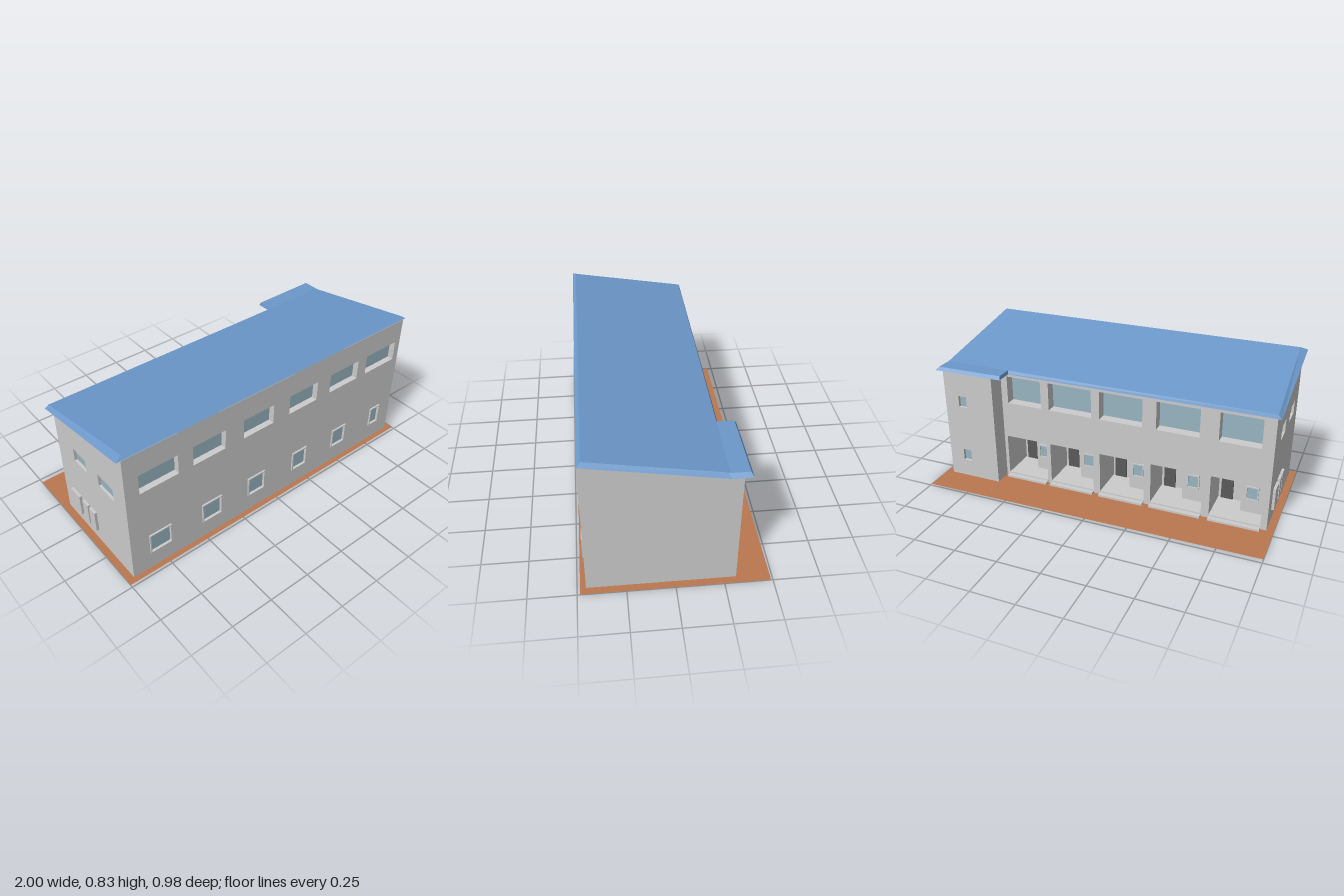
import * as THREE from 'three';

const material = (color) => new THREE.MeshStandardMaterial({ color, flatShading: true, side: THREE.DoubleSide });

export function createModel() {
  const model = new THREE.Group();
  const grey = material(0xcccccc);
  const glass = material(0x98b5c1);
  const blue = material(0x6c98ca);
  const earth = material(0xbb7850);
  const dark = material(0x5a5a5a);

  const add = (name, geometry, mat = grey) => {
    const mesh = new THREE.Mesh(geometry, mat);
    mesh.name = name;
    model.add(mesh);
    return mesh;
  };
  // Box given by its limits on each axis
  const box = (name, x0, x1, y0, y1, z0, z1, mat = grey) =>
    add(name, new THREE.BoxGeometry(x1 - x0, y1 - y0, z1 - z0), mat)
      .position.set((x0 + x1) / 2, (y0 + y1) / 2, (z0 + z1) / 2);
  const rect = (x0, x1, y0, y1) => [[x0, y0], [x1, y0], [x1, y1], [x0, y1]];
  const points = (list) => list.map(([x, y]) => new THREE.Vector2(x, y));
  // Wall panel from an outline with rectangular openings
  const panel = (outline, openings, depth) => {
    const shape = new THREE.Shape(points(outline));
    for (const o of openings) shape.holes.push(new THREE.Path(points(rect(...o).reverse())));
    return new THREE.ExtrudeGeometry(shape, { depth, bevelEnabled: false });
  };
  // Solid between two four-cornered loops, bottom and top
  const slab = (name, bottom, top, mat) => {
    const geometry = new THREE.BufferGeometry();
    geometry.setAttribute('position', new THREE.Float32BufferAttribute([...bottom, ...top].flat(), 3));
    const index = [0, 2, 1, 0, 3, 2, 4, 5, 6, 4, 6, 7];
    for (let i = 0; i < 4; i++) {
      const j = (i + 1) % 4;
      index.push(i, j, j + 4, i, j + 4, i + 4);
    }
    geometry.setIndex(index);
    const flat = geometry.toNonIndexed();
    flat.computeVertexNormals();
    add(name, flat, mat);
  };

  // Ground sheet and building floor
  const ground = new THREE.Shape(points([[-1, -0.485], [1, -0.485], [1, 0.49], [-1, 0.47]]));
  const groundMesh = add('ground', new THREE.ShapeGeometry(ground), earth);
  groundMesh.rotation.x = -Math.PI / 2;
  groundMesh.position.y = 0.002;
  box('floor', -0.95, 0.95, 0, 0.006, -0.2, 0.44);
  box('towerFloor', 0.65, 0.95, 0, 0.006, -0.305, -0.2);

  // Front wall: wide recessed windows above, framed windows below
  const frontUpper = [[-0.88, -0.65], [-0.56, -0.355], [-0.235, -0.03], [0.085, 0.29], [0.39, 0.61], [0.68, 0.92]]
    .map(([a, b]) => [a, b, 0.555, 0.675]);
  const frontLower = [[-0.85, -0.715], [-0.515, -0.385], [-0.2, -0.08], [0.13, 0.24], [0.45, 0.56], [0.78, 0.86]]
    .map(([a, b]) => [a, b, 0.115, 0.243]);
  add('frontWall', panel(rect(-0.96, 0.96, 0, 0.814), [...frontUpper, ...frontLower], 0.04)).position.z = 0.415;
  for (const [a, b, c, d] of frontUpper) box('frontUpperGlass', a, b, c, d, 0.41, 0.42, glass);
  for (const [a, b, c, d] of frontLower) {
    const t = 0.007;
    add('frontWindowFrame', panel(rect(a, b, c, d), [[a + t, b - t, c + t, d - t]], 0.03)).position.z = 0.435;
    box('frontLowerGlass', a, b, c, d, 0.44, 0.45, glass);
  }

  // End walls, drawn with -z across and turned to face sideways
  const endWall = (name, outline, openings, x) => {
    const mesh = add(name, panel(outline, openings, 0.03));
    mesh.rotation.y = Math.PI / 2;
    mesh.position.x = x;
  };
  const sideWindows = [[-0.08, 0.04, 0.465, 0.545], [-0.34, -0.2, 0.465, 0.545]];
  endWall('leftwardEndWall', [[-0.415, 0], [0.25, 0], [0.315, 0], [0.315, 0.692], [0.25, 0.692], [-0.415, 0.81]], [], 0.93);
  endWall('rightwardEndWall', [[-0.415, 0], [0.21, 0], [0.21, 0.699], [-0.415, 0.81]], sideWindows, -0.96);
  for (const [a, b, c, d] of sideWindows) box('sideGlass', -0.945, -0.935, c, d, -b, -a, glass);

  // Service cabinets on the end wall
  for (const [a, b] of [[-0.12, -0.03], [0.0, 0.055], [0.07, 0.125]]) {
    box('wallCabinet', -0.975, -0.955, 0.08, 0.21, a, b);
  }

  // Back wall with deep upper windows and patio openings
  const bays = [[0.36, 0.62], [0.06, 0.335], [-0.25, 0.02], [-0.59, -0.29], [-0.925, -0.635]];
  const backUpper = [[0.385, 0.6], [0.07, 0.335], [-0.235, 0.02], [-0.56, -0.315], [-0.893, -0.665]]
    .map(([a, b]) => [a, b, 0.487, 0.655]);
  const patios = bays.map(([a, b]) => [a, b, 0.02, 0.268]);
  add('backWall', panel(rect(-0.93, 0.65, 0, 0.699), [...backUpper, ...patios], 0.07)).position.z = -0.21;
  for (const [a, b, c, d] of backUpper) box('backUpperGlass', a, b, c, d, -0.15, -0.14, glass);

  // Patios: floor, step, door, and a projecting room with a small window
  box('patioCeiling', -0.93, 0.64, 0.268, 0.28, -0.14, 0.01);
  box('patioInnerWall', -0.93, 0.64, 0, 0.268, 0, 0.01);
  for (const [a, b] of bays) {
    const w = b - a, edge = a + 0.48 * w;
    box('patioFloor', a, b, 0.006, 0.021, -0.209, 0);
    box('patioStep', a, b, 0, 0.014, -0.24, -0.2);
    box('patioRoom', a, edge, 0.02, 0.268, -0.1, 0);
    const wx = a + 0.27 * w;
    const f = [wx - 0.036, wx + 0.036, 0.105, 0.19];
    add('patioWindowFrame', panel(rect(...f), [[f[0] + 0.007, f[1] - 0.007, f[2] + 0.007, f[3] - 0.007]], 0.012)).position.z = -0.11;
    box('patioGlass', ...f, -0.103, -0.095, glass);
    box('patioDoor', b - 0.085, b - 0.015, 0.02, 0.215, -0.006, 0.001, dark);
  }
  const edges = [0.645, ...bays.flatMap(([a, b]) => [b, a]), -0.93];
  for (let i = 0; i < edges.length; i += 2) {
    box('patioDivider', edges[i + 1], edges[i], 0, 0.268, -0.145, 0);
  }

  // Stair tower at the back corner
  const towerWindows = [[0.818, 0.87, 0.46, 0.53], [0.818, 0.87, 0.108, 0.18]];
  add('towerBackWall', panel(rect(0.64, 0.93, 0, 0.692), towerWindows, 0.03)).position.z = -0.315;
  box('towerSideWall', 0.64, 0.66, 0, 0.692, -0.285, -0.14);
  for (const [a, b, c, d] of towerWindows) box('towerGlass', a, b, c, d, -0.298, -0.288, glass);

  // Sloping roof with bevelled rim, and flat roof over the tower
  slab('mainRoof',
    [[-0.985, 0.815, 0.455], [0.98, 0.815, 0.455], [0.98, 0.69, -0.255], [-0.985, 0.69, -0.25]],
    [[-0.945, 0.83, 0.435], [0.957, 0.83, 0.435], [0.957, 0.71, -0.245], [-0.965, 0.71, -0.243]], blue);
  slab('towerRoof',
    [[0.562, 0.69, -0.24], [0.98, 0.69, -0.24], [0.98, 0.69, -0.355], [0.562, 0.69, -0.348]],
    [[0.567, 0.71, -0.24], [0.96, 0.71, -0.24], [0.96, 0.71, -0.342], [0.567, 0.71, -0.336]], blue);

  return model;
}
